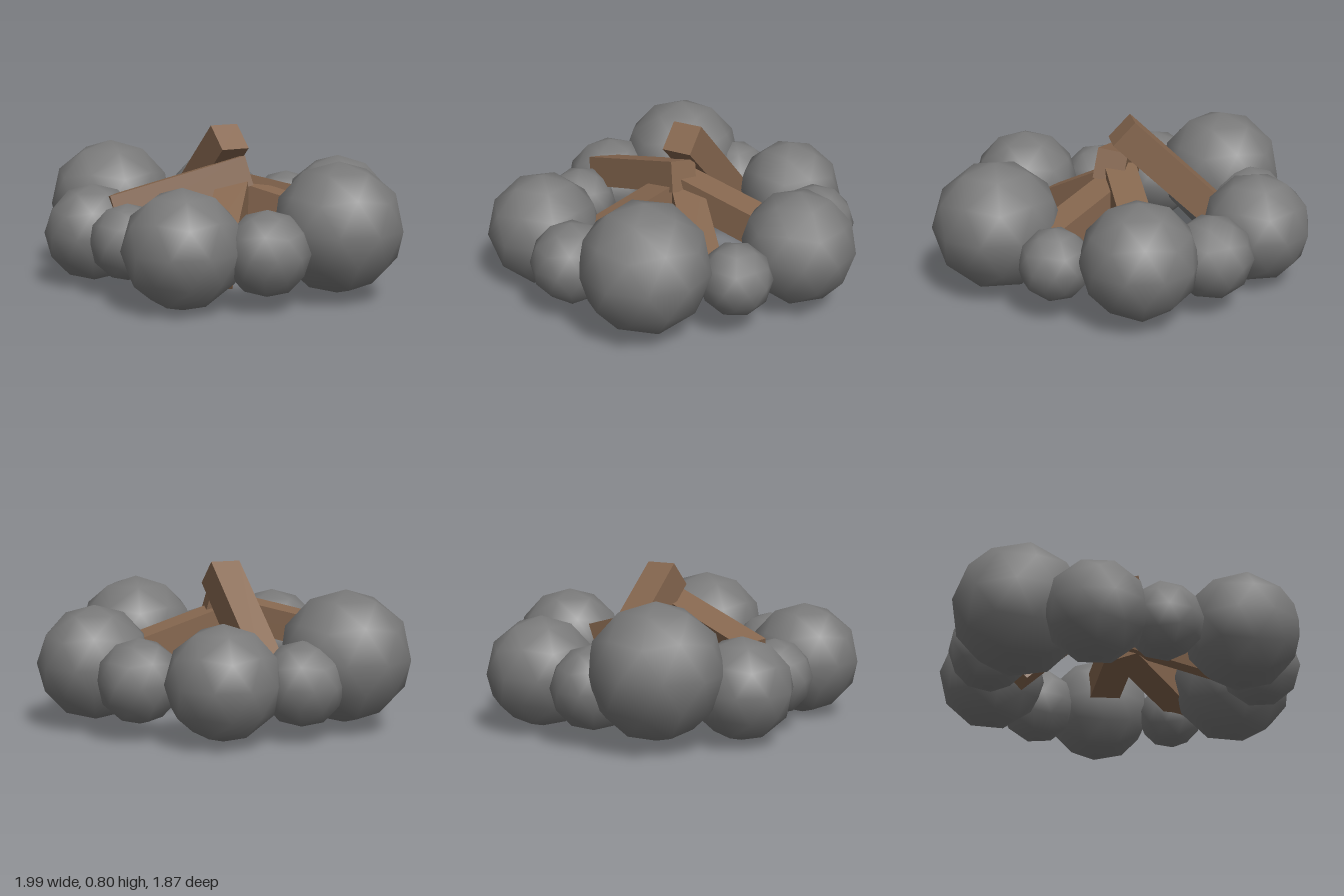
import * as THREE from 'three';

const stoneMaterial = new THREE.MeshStandardMaterial({ color: 0x7a7a7a });
const woodMaterial = new THREE.MeshStandardMaterial({ color: 0x86674f });

// Smooth low-poly stone with a vertex at its top and bottom
function makeStone([x, y, z, r], i) {
  const geometry = new THREE.IcosahedronGeometry(r, 1);
  geometry.rotateZ(-Math.atan(2 / (1 + Math.sqrt(5))));
  geometry.rotateY(i * 0.9);
  const stone = new THREE.Mesh(geometry, stoneMaterial);
  stone.name = 'stone' + (i + 1);
  stone.position.set(x, y, z);
  return stone;
}

// Square log laid from its upper end to its foot
function makeLog({ top, foot, size, roll }, i) {
  const a = new THREE.Vector3(...top);
  const b = new THREE.Vector3(...foot);
  const log = new THREE.Mesh(new THREE.BoxGeometry(size, size, a.distanceTo(b)), woodMaterial);
  log.name = 'log' + (i + 1);
  log.position.copy(a).lerp(b, 0.5);
  log.lookAt(b);
  log.rotateZ(roll);
  return log;
}

export function createModel() {
  const model = new THREE.Group();
  model.name = 'campfire';

  // Ring of stones: x, y, z, radius
  const ring = new THREE.Group();
  ring.name = 'stoneRing';
  [
    [0.69, 0.35, 0.0, 0.32],
    [0.57, 0.27, 0.4, 0.205],
    [0.27, 0.29, 0.65, 0.288],
    [-0.14, 0.265, 0.59, 0.19],
    [-0.46, 0.265, 0.51, 0.248],
    [-0.68, 0.365, 0.16, 0.326],
    [-0.68, 0.27, -0.15, 0.205],
    [-0.5, 0.295, -0.49, 0.275],
    [-0.13, 0.28, -0.68, 0.205],
    [0.24, 0.32, -0.65, 0.285],
    [0.56, 0.27, -0.405, 0.178],
  ].forEach((s, i) => ring.add(makeStone(s, i)));

  // Leaning logs
  const pile = new THREE.Group();
  pile.name = 'logPile';
  [
    { top: [0.01, 0.74, -0.01], foot: [-0.53, 0.2, -0.18], size: 0.16, roll: 0 },
    { top: [0.09, 0.57, -0.04], foot: [-0.31, 0.39, 0.52], size: 0.155, roll: 0.15 },
    { top: [0.06, 0.46, 0.02], foot: [0.36, 0.16, 0.53], size: 0.16, roll: 0 },
    { top: [0.02, 0.49, 0.0], foot: [0.18, 0.33, -0.55], size: 0.16, roll: 0 },
    { top: [0.05, 0.44, -0.04], foot: [0.6, 0.28, -0.27], size: 0.16, roll: 0 },
  ].forEach((l, i) => pile.add(makeLog(l, i)));

  model.add(ring, pile);
  return model;
}
